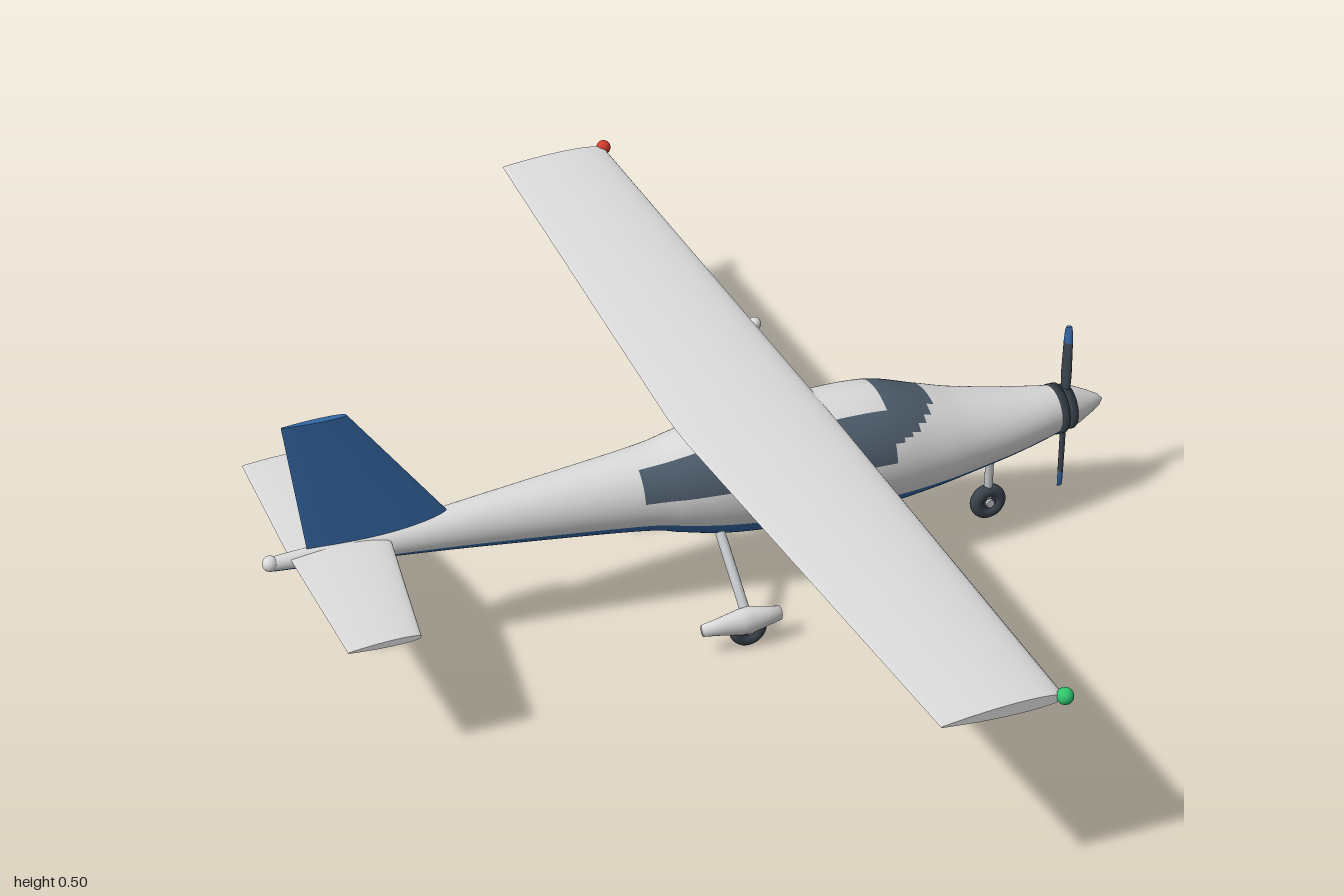
import * as THREE from 'three';

const mat = (name, color) => Object.assign(new THREE.MeshStandardMaterial({ color }), { name });

// Skin a list of rings (arrays of [x,y,z]) with closed ends; pick() chooses a material index per face.
function loft(rings, pick = () => 0) {
  const n = rings[0].length, pos = [], faces = [[], [], []];
  rings.forEach((r) => r.forEach((p) => pos.push(...p)));
  for (let i = 0; i < rings.length - 1; i++) {
    for (let j = 0; j < n - 1; j++) {
      const a = i * n + j, b = a + 1, c = a + n, d = c + 1;
      const mid = [0, 1, 2].map((k) => (pos[a * 3 + k] + pos[b * 3 + k] + pos[c * 3 + k] + pos[d * 3 + k]) / 4);
      faces[pick(mid, i, j)].push(a, b, c, b, d, c);
    }
  }
  [rings[0], rings[rings.length - 1]].forEach((r, end) => {
    const base = pos.length / 3;
    r.forEach((p) => pos.push(...p));
    const mid = [0, 1, 2].map((k) => r.reduce((s, p) => s + p[k], 0) / n);
    pos.push(...mid);
    for (let j = 0; j < n - 1; j++) {
      const [p, q] = end ? [j, j + 1] : [j + 1, j];
      faces[0].push(base + p, base + q, base + n);
    }
  });
  // Turn the faces outward
  const v = (i) => new THREE.Vector3().fromArray(pos, i * 3);
  let volume = 0;
  faces.forEach((f) => {
    for (let k = 0; k < f.length; k += 3) volume += v(f[k]).dot(v(f[k + 1]).cross(v(f[k + 2])));
  });
  if (volume < 0) faces.forEach((f) => f.reverse());
  const g = new THREE.BufferGeometry();
  g.setAttribute('position', new THREE.Float32BufferAttribute(pos, 3));
  g.setIndex(faces.flat());
  let start = 0;
  faces.forEach((f, m) => { g.addGroup(start, f.length, m); start += f.length; });
  g.computeVertexNormals();
  return g;
}

// Aerofoil outline from the trailing edge around and back, as [x, height]
function foil(lead, trail, thick, n = 28) {
  return Array.from({ length: n + 1 }, (_, i) => {
    const a = (i / n) * Math.PI * 2, u = (1 + Math.cos(a)) / 2;
    const h = 1.3 * thick * Math.sqrt(u) * (1 - u) + 0.001;
    return [lead + (trail - lead) * u, i % n === 0 ? 0 : h * Math.sign(Math.sin(a))];
  });
}

function latheX(points, segments = 28) {
  return new THREE.LatheGeometry(points.map(([r, x]) => new THREE.Vector2(r, x)), segments).rotateZ(-Math.PI / 2);
}

function rod(from, to, r) {
  const a = new THREE.Vector3(...from), b = new THREE.Vector3(...to), d = b.clone().sub(a);
  const g = new THREE.CylinderGeometry(r, r, d.length(), 14);
  g.applyQuaternion(new THREE.Quaternion().setFromUnitVectors(new THREE.Vector3(0, 1, 0), d.normalize()));
  return g.translate(...a.add(b).multiplyScalar(0.5).toArray());
}

export function createModel() {
  const model = new THREE.Group();
  model.name = 'lightAircraft';
  const white = mat('bodyWhite', 0xdadada), blue = mat('trimBlue', 0x3467a5), glass = mat('windowGlass', 0x4d5c6b);
  const dark = mat('tyreDark', 0x3a434d), metal = mat('strutMetal', 0xbfc2c5);
  const red = mat('lampRed', 0xd23a2e), green = mat('lampGreen', 0x2fc46c);
  const add = (name, geometry, material, parent = model) => {
    const m = new THREE.Mesh(geometry, material);
    m.name = name;
    parent.add(m);
    return m;
  };

  // Fuselage stations: x, top, bottom, half width
  const stations = [
    [-0.775, 0.252, 0.226, 0.012], [-0.6, 0.261, 0.21, 0.024], [-0.4, 0.28, 0.188, 0.042],
    [-0.13, 0.303, 0.155, 0.072], [-0.05, 0.316, 0.135, 0.085], [0.02, 0.332, 0.117, 0.096],
    [0.1, 0.338, 0.107, 0.105], [0.2, 0.338, 0.105, 0.11], [0.33, 0.334, 0.105, 0.111],
    [0.43, 0.303, 0.117, 0.102], [0.5, 0.281, 0.128, 0.09], [0.6, 0.26, 0.143, 0.07], [0.695, 0.246, 0.16, 0.045],
  ];
  const heights = new THREE.CatmullRomCurve3(stations.map((s) => new THREE.Vector3(s[0], s[1], s[2])), false, 'catmullrom');
  const widths = new THREE.CatmullRomCurve3(stations.map((s) => new THREE.Vector3(s[0], s[3], 0)), false, 'catmullrom');
  const steps = (stations.length - 1) * 6, around = 80;
  const hull = Array.from({ length: steps + 1 }, (_, i) => {
    const { x, y: top, z: bottom } = heights.getPoint(i / steps), w = widths.getPoint(i / steps).y;
    return Array.from({ length: around + 1 }, (_, j) => {
      const a = (j / around) * Math.PI * 2;
      return [x, (top + bottom) / 2 - (Math.cos(a) * (top - bottom)) / 2, Math.sin(a) * w];
    });
  });
  // Blue belly, side windows and wrap-around windscreen
  const paint = ([x, y], i, j) => {
    const level = -Math.cos(((j + 0.5) / around) * Math.PI * 2);
    if (level < -0.52) return 1;
    if (x > -0.13 && x < 0.33 && y > 0.24 && level < 0.86) return 2;
    if (x > 0.33 && x < 0.43 && y > 0.265 + 0.35 * (x - 0.33)) return 2;
    return 0;
  };
  add('fuselage', loft(hull, paint), [white, blue, glass]);

  // Wing and tailplane: span, leading edge, trailing edge, height, thickness
  const span = (sections) => loft(sections.map(([z, lead, trail, y, t]) =>
    foil(lead, trail, t).map(([x, h]) => [x, y + h, z])));
  add('wing', span([
    [-0.985, 0.2, -0.01, 0.358, 0.02], [-0.04, 0.225, -0.045, 0.331, 0.034],
    [0.04, 0.225, -0.045, 0.331, 0.034], [0.985, 0.2, -0.01, 0.358, 0.02],
  ]), white);
  add('tailplane', span([
    [-0.305, -0.615, -0.74, 0.246, 0.01], [0, -0.57, -0.747, 0.246, 0.016], [0.305, -0.615, -0.74, 0.246, 0.01],
  ]), white);

  // Swept fin
  add('fin', loft([[0.25, -0.45, -0.715, 0.026], [0.5, -0.632, -0.745, 0.012]].map(([y, lead, trail, t]) =>
    foil(lead, trail, t).map(([x, h]) => [x, y, h]))), blue);

  // Lamps
  const lamp = (name, x, y, z, r, m) => add(name, new THREE.SphereGeometry(r, 18, 12).translate(x, y, z), m);
  lamp('leftWingLamp', 0.2, 0.36, 0.986, 0.014, green);
  lamp('rightWingLamp', 0.2, 0.36, -0.986, 0.014, red);
  lamp('tailLamp', -0.78, 0.241, 0, 0.014, white);
  lamp('landingLamp', 0.228, 0.326, -0.295, 0.012, white);

  // Propeller
  const propeller = new THREE.Group();
  propeller.name = 'propeller';
  propeller.position.y = 0.203;
  model.add(propeller);
  add('cowlRing', latheX([[0, 0.688], [0.047, 0.688], [0.047, 0.703], [0, 0.703]]), dark, propeller);
  add('hubRing', latheX([[0, 0.703], [0.042, 0.706], [0.042, 0.722], [0, 0.722]]), dark, propeller);
  add('spinner', latheX([[0.04, 0.722], [0.034, 0.737], [0.022, 0.762], [0.011, 0.782], [0, 0.792]]), white, propeller);
  for (const s of [1, -1]) {
    const blade = (name, sections, m) => add(name, loft(sections.map(([y, w]) =>
      foil(w, -w, 0.008, 16).map(([z, h]) => [0.714 + h + z * 0.25 * s, y * s, z]))), m, propeller);
    blade('blade', [[0.02, 0.009], [0.07, 0.012], [0.135, 0.01]], dark);
    blade('bladeTip', [[0.135, 0.01], [0.158, 0.008], [0.168, 0.004]], blue);
  }

  // Wheels
  const wheel = (name, x, z) => {
    const g = new THREE.Group();
    g.name = name;
    g.position.set(x, 0.035, z);
    model.add(g);
    add('tyre', new THREE.TorusGeometry(0.0225, 0.0125, 14, 32), dark, g);
    add('rim', new THREE.CylinderGeometry(0.016, 0.016, 0.014, 20).rotateX(Math.PI / 2), dark, g);
    add('hub', new THREE.CylinderGeometry(0.008, 0.008, 0.026, 16).rotateX(Math.PI / 2), metal, g);
  };
  wheel('noseWheel', 0.568, 0);
  add('noseLeg', rod([0.568, 0.045, 0], [0.568, 0.145, 0], 0.008), metal);

  // Wing struts and main gear on both sides
  for (const s of [1, -1]) {
    add('wingStrut', rod([0.105, 0.16, 0.07 * s], [0.105, 0.333, 0.49 * s], 0.007), metal);
    add('mainLeg', rod([0.005, 0.155, 0.08 * s], [0.005, 0.055, 0.2 * s], 0.009), metal);
    wheel('mainWheel', 0.005, 0.205 * s);
    const spat = latheX([[0, -0.08], [0.011, -0.08], [0.016, -0.05], [0.024, -0.01], [0.025, 0.01],
      [0.018, 0.04], [0.013, 0.066], [0, 0.068]]);
    add('wheelSpat', spat.scale(1, 1, 0.85).translate(0, 0.05, 0.205 * s), white);
  }
  return model;
}
